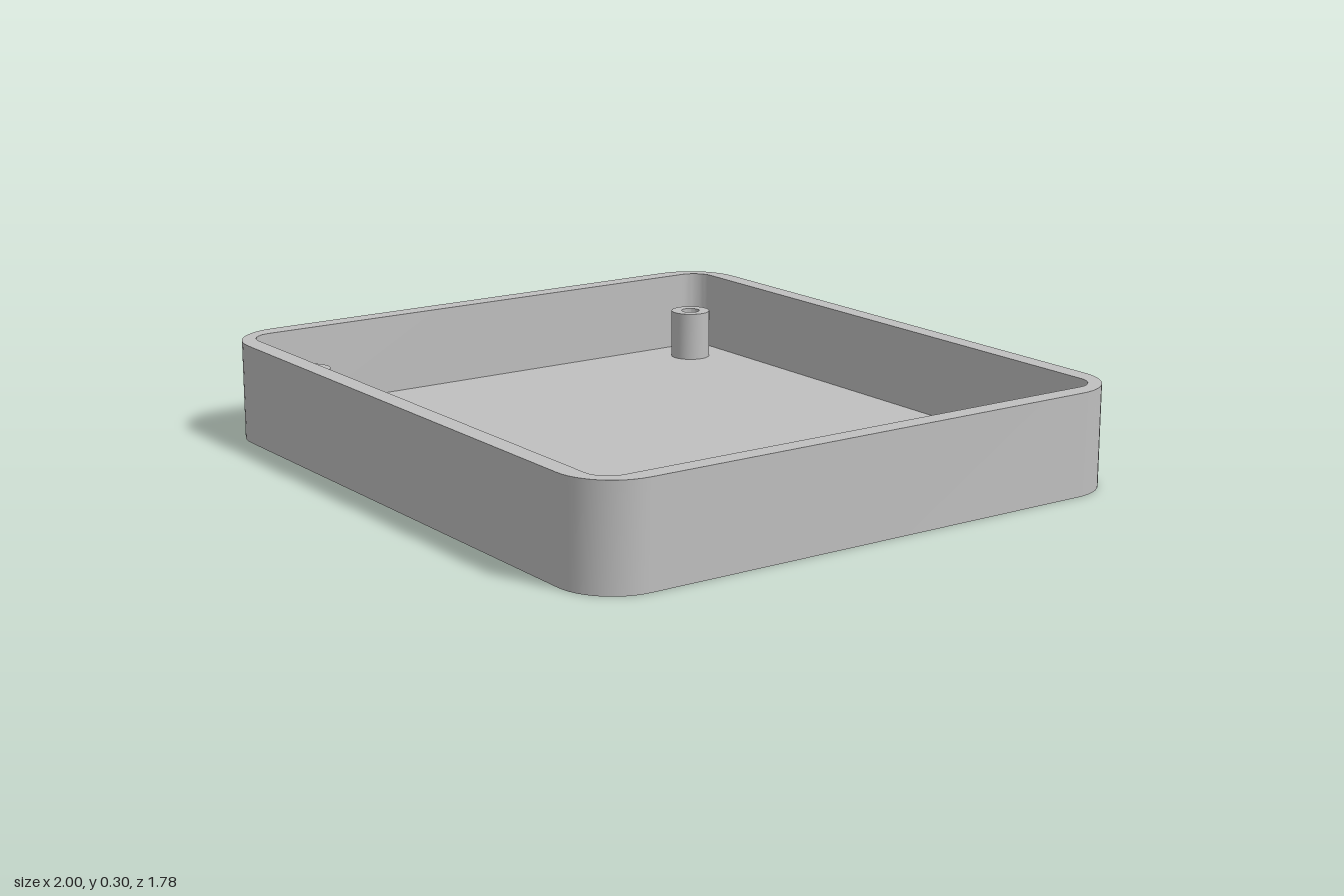
import * as THREE from 'three';
import { toCreasedNormals, mergeGeometries } from 'three/addons/utils/BufferGeometryUtils.js';

const HEIGHT = 0.297, FLOOR = 0.056, POST_TOP = 0.207, RECESS = 0.035;
const POST_R = 0.062, HOLE_R = 0.029, RECESS_R = 0.107;

// Closed counter-clockwise outlines, given as points in plan
function circle(x, y, r, n = 40) {
  return Array.from({ length: n }, (_, i) => {
    const a = (i / n) * Math.PI * 2;
    return new THREE.Vector2(x + r * Math.cos(a), y + r * Math.sin(a));
  });
}

function roundedRect(w, d, r, n = 12) {
  const points = [];
  [[1, 1], [-1, 1], [-1, -1], [1, -1]].forEach(([sx, sy], k) => {
    for (let i = 0; i <= n; i++) {
      const a = (k + i / n) * Math.PI / 2;
      points.push(new THREE.Vector2(sx * (w - r) + r * Math.cos(a), sy * (d - r) + r * Math.sin(a)));
    }
  });
  return points;
}

// Flat face at height y, with holes, facing up or down
function cap(outline, holes, y, up = true) {
  const shape = new THREE.Shape(outline);
  shape.holes = holes.map((h) => new THREE.Path(h));
  const g = new THREE.ShapeGeometry(shape).toNonIndexed();
  g.deleteAttribute('uv');
  return g.rotateX(up ? -Math.PI / 2 : Math.PI / 2).translate(0, y, 0);
}

// Upright band along an outline, facing outward or inward
function band(outline, y0, y1, inward = false) {
  const pts = inward ? [...outline].reverse() : outline;
  const pos = [];
  pts.forEach((p, i) => {
    const q = pts[(i + 1) % pts.length];
    const a = [p.x, y0, -p.y], b = [q.x, y0, -q.y];
    const c = [q.x, y1, -q.y], d = [p.x, y1, -p.y];
    pos.push(...a, ...b, ...c, ...a, ...c, ...d);
  });
  const g = new THREE.BufferGeometry();
  g.setAttribute('position', new THREE.Float32BufferAttribute(pos, 3));
  return toCreasedNormals(g, Math.PI / 6);
}

export function createModel() {
  const group = new THREE.Group();
  const grey = new THREE.MeshStandardMaterial({ color: 0xbfbfbf });
  grey.name = 'grey plastic';

  const add = (name, ...parts) => {
    const mesh = new THREE.Mesh(mergeGeometries(parts), grey);
    mesh.name = name;
    group.add(mesh);
  };

  const outer = roundedRect(1, 0.89, 0.167);
  const inner = roundedRect(0.944, 0.834, 0.07);
  const corners = [[1, 1], [-1, 1], [-1, -1], [1, -1]].map(([sx, sy]) => [sx * 0.808, sy * 0.702]);
  const posts = corners.map(([x, y]) => circle(x, y, POST_R));
  const bores = corners.map(([x, y]) => circle(x, y, HOLE_R));
  const recesses = [-0.5, 0.5].map((x) => circle(x, 0, RECESS_R, 48));

  // Tray shell
  add('walls', band(outer, 0, HEIGHT), band(inner, FLOOR, HEIGHT, true), cap(outer, [inner], HEIGHT));
  add('floor', cap(inner, posts, FLOOR));
  add('underside', cap(outer, [...bores, ...recesses], 0, false));

  // Screw posts, bored right through the floor
  posts.forEach((post, i) => add('screwPost',
    band(post, FLOOR, POST_TOP),
    band(bores[i], 0, POST_TOP, true),
    cap(post, [bores[i]], POST_TOP)));

  // Round pockets in the underside
  recesses.forEach((r) => add('bottomRecess', band(r, 0, RECESS, true), cap(r, [], RECESS, false)));

  return group;
}
